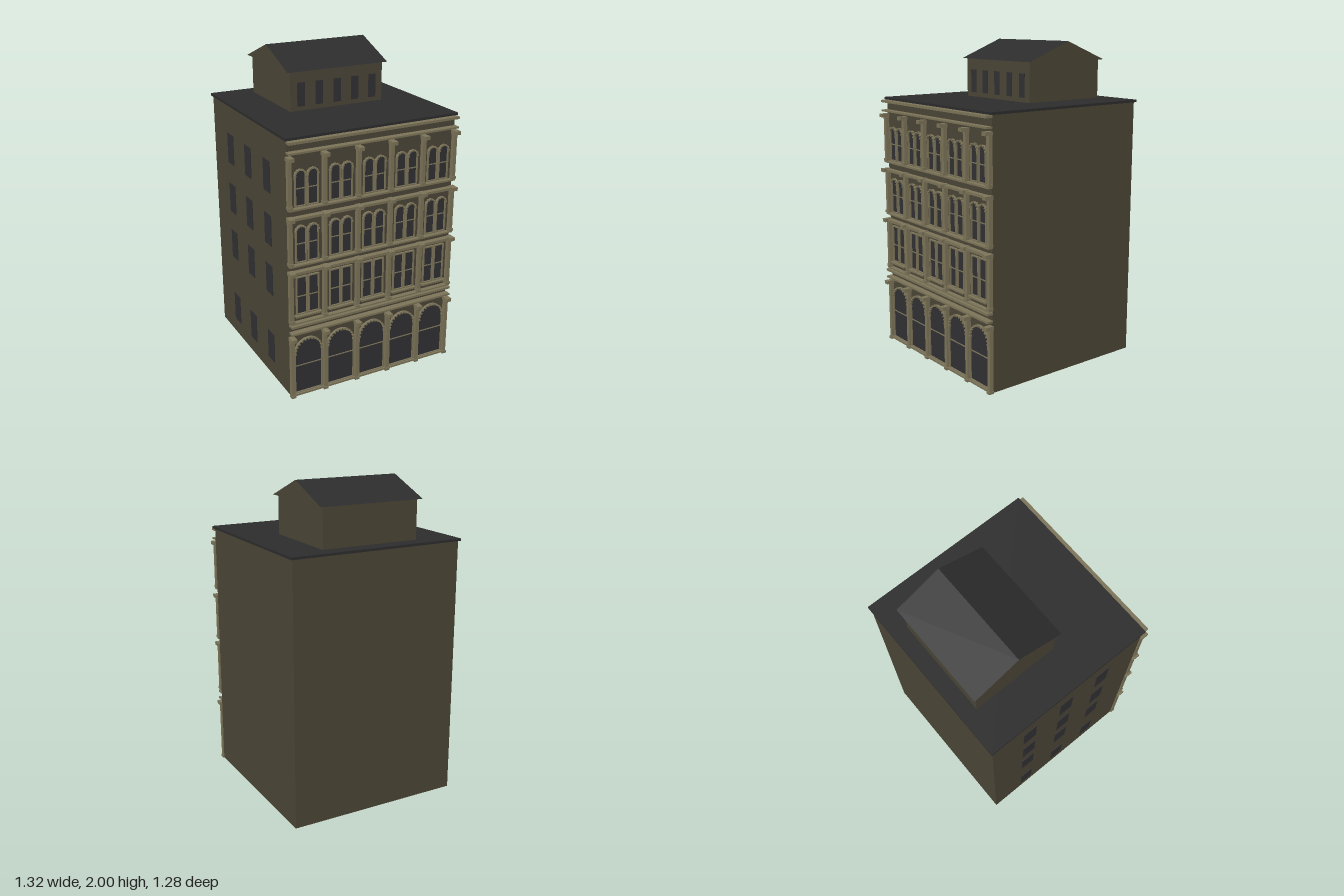
import * as THREE from 'three';

const mat = (name, color) => {
  const m = new THREE.MeshStandardMaterial({ color });
  m.name = name;
  return m;
};

export function createModel() {
  const wall = mat('brown wall', 0x4b4536);
  const trim = mat('pale stone trim', 0x7b7358);
  const roofing = mat('dark roofing', 0x2c2c2c);
  const glass = mat('window glass', 0x303033);

  const add = (parent, name, geometry, material, x = 0, y = 0, z = 0) => {
    const mesh = new THREE.Mesh(geometry, material);
    mesh.name = name;
    mesh.position.set(x, y, z);
    parent.add(mesh);
    return mesh;
  };
  // Box spanning y0..y1 and z0..z1, centred on x
  const block = (parent, name, material, x, w, y0, y1, z0, z1) =>
    add(parent, name, new THREE.BoxGeometry(w, y1 - y0, z1 - z0), material, x, (y0 + y1) / 2, (z0 + z1) / 2);

  // Outline of a window, square or round-headed, standing on y0
  const outline = (Type, w, y0, y1, arched) => {
    const s = new Type();
    const r = w / 2;
    s.moveTo(-r, y0);
    s.lineTo(r, y0);
    if (arched) {
      s.lineTo(r, y1 - r);
      s.absarc(0, y1 - r, r, 0, Math.PI, false);
    } else {
      s.lineTo(r, y1);
      s.lineTo(-r, y1);
    }
    s.closePath();
    return s;
  };
  const extrude = (shape, depth) =>
    new THREE.ExtrudeGeometry(shape, { depth, bevelEnabled: false, curveSegments: 10 });

  // Glass, surrounding frame and cross bar
  const addWindow = (parent, x, w, y0, y1, arched, barY, edge) => {
    add(parent, 'windowGlass', extrude(outline(THREE.Shape, w, y0, y1, arched), 0.004), glass, x);
    const frame = outline(THREE.Shape, w + edge * 2, y0 - edge, y1 + edge, arched);
    frame.holes.push(outline(THREE.Path, w, y0, y1, arched));
    add(parent, 'windowFrame', extrude(frame, 0.014), trim, x);
    block(parent, 'windowBar', trim, x, w, barY - 0.003, barY + 0.003, 0, 0.008);
  };
  // Small stones following a round head
  const addArchStones = (parent, x, y, r, count, size) => {
    for (let i = 0; i < count; i++) {
      const a = Math.PI * i / (count - 1);
      const stone = add(parent, 'archStone', new THREE.BoxGeometry(size, size, 0.02), trim,
        x + r * Math.cos(a), y + r * Math.sin(a), 0.01);
      stone.rotation.z = a;
    }
  };

  const model = new THREE.Group();
  model.name = 'cornerBuilding';
  const building = new THREE.Group();
  building.name = 'building';
  building.position.set(-0.023, 0, -0.012);
  building.rotation.y = -0.138;
  model.add(building);

  // Main block and flat roof
  const H = 0.555;
  block(building, 'mainWalls', wall, 0, H * 2, 0, 1.625, -H, H);
  block(building, 'flatRoof', roofing, 0, 1.134, 1.625, 1.64, -0.567, 0.567);

  // Plain windows on the front wall
  for (const y of [0.205, 0.675, 1.003, 1.34])
    for (const x of [-0.278, 0, 0.278])
      block(building, 'plainWindow', glass, x, 0.093, y - 0.098, y + 0.098, H, H + 0.004);

  // Rooftop house with gabled roof
  const house = new THREE.Group();
  house.name = 'rooftopHouse';
  house.position.set(-0.187, 0, -0.005);
  building.add(house);
  block(house, 'houseWalls', wall, 0, 0.56, 1.64, 1.885, -0.315, 0.315);
  const gable = new THREE.Shape([[-0.301, 1.882], [0.301, 1.882], [0, 2]].map(p => new THREE.Vector2(...p)));
  add(house, 'gabledRoof', extrude(gable, 0.68), [wall, roofing], 0, 0, -0.34);
  for (let i = -2; i <= 2; i++)
    add(house, 'houseWindow', new THREE.BoxGeometry(0.004, 0.145, 0.05), glass, 0.282, 1.74, i * 0.122);

  // Ornate facade on the +x side, built facing +z and turned into place
  const facade = new THREE.Group();
  facade.name = 'ornateFacade';
  facade.position.x = H;
  facade.rotation.y = Math.PI / 2;
  building.add(facade);

  // Full-width mouldings: bottom, top, depth
  for (const [y0, y1, d] of [
    [0.008, 0.02, 0.026], [0.435, 0.447, 0.04], [0.482, 0.496, 0.04], [0.502, 0.511, 0.03],
    [0.823, 0.84, 0.035], [0.872, 0.882, 0.03], [1.16, 1.175, 0.035], [1.217, 1.228, 0.03],
    [1.55, 1.561, 0.04], [1.608, 1.623, 0.042],
  ]) block(facade, 'moulding', trim, 0, 1.12, y0, y1, 0, d);

  // Pilasters on each storey, with base and capital
  const pitch = 0.22;
  for (const [y0, y1] of [[0, 0.415], [0.511, 0.843], [0.882, 1.178], [1.228, 1.535]])
    for (let i = 0; i < 6; i++) {
      const x = (i - 2.5) * pitch;
      block(facade, 'pilaster', trim, x, 0.024, y0, y1 - 0.01, 0, 0.026);
      block(facade, 'pilasterBase', trim, x, 0.03, y0, y0 + 0.016, 0, 0.032);
      block(facade, 'pilasterCapital', trim, x, 0.034, y1 - 0.022, y1, 0, 0.054);
    }

  // Bays: one large arch below, paired windows above
  for (let i = -2; i <= 2; i++) {
    const x = i * pitch;
    addWindow(facade, x, 0.174, 0.024, 0.38, true, 0.205, 0.007);
    addArchStones(facade, x, 0.293, 0.088, 13, 0.011);
    for (const s of [-1, 1]) {
      const wx = x + s * 0.039;
      addWindow(facade, wx, 0.058, 0.56, 0.792, false, 0.67, 0.007);
      for (const [y0, y1, bar] of [[0.894, 1.11, 1.005], [1.24, 1.445, 1.34]]) {
        addWindow(facade, wx, 0.056, y0, y1, true, bar, 0.007);
        addArchStones(facade, wx, y1 - 0.028, 0.033, 7, 0.009);
      }
    }
    block(facade, 'windowSill', trim, x, 0.17, 0.541, 0.552, 0, 0.028);
  }

  return model;
}
